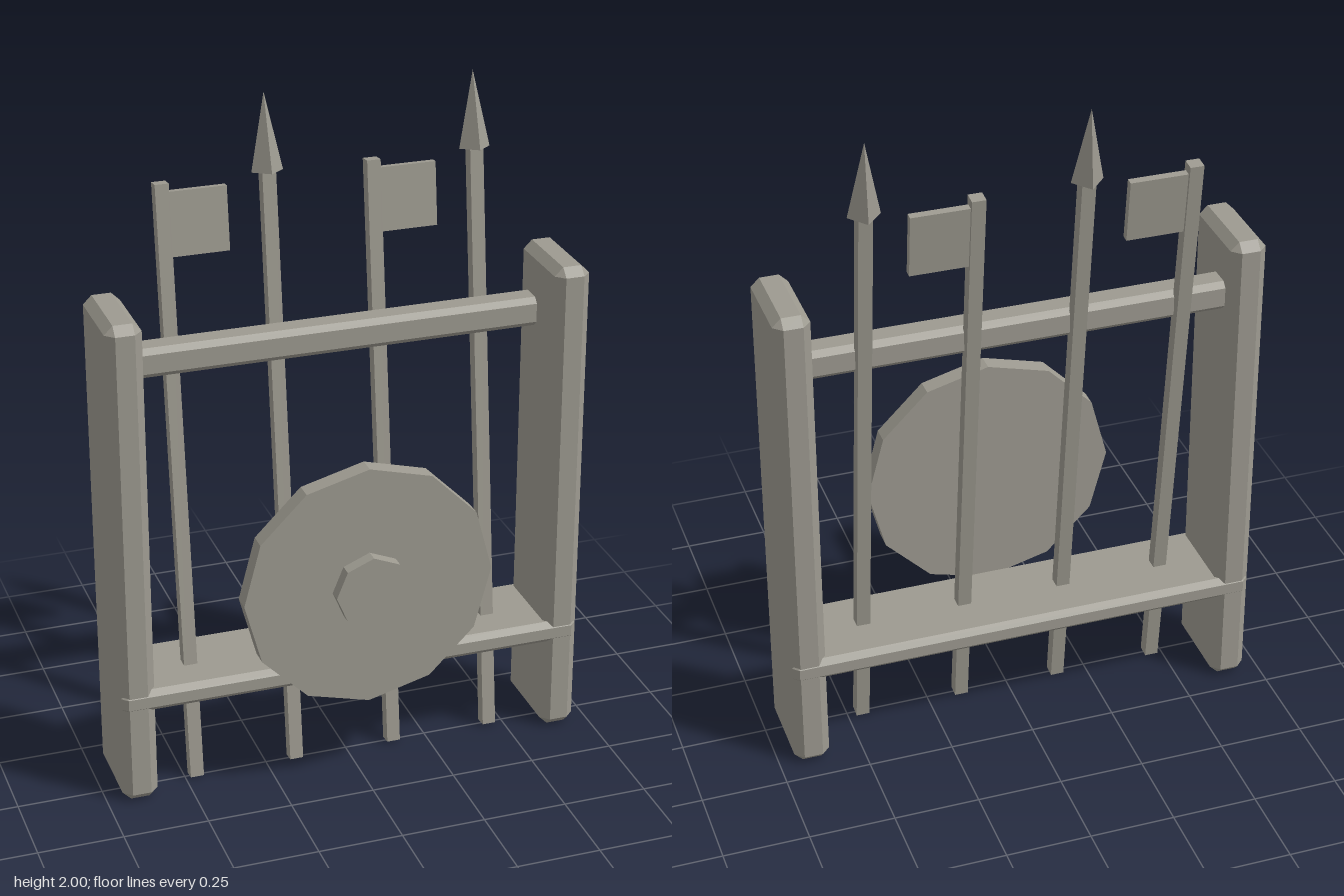
import * as THREE from 'three';
import { ConvexGeometry } from 'three/addons/geometries/ConvexGeometry.js';

const stone = new THREE.MeshStandardMaterial({ color: 0x9d9a90, flatShading: true });
stone.name = 'grey';

function add(parent, name, geometry, x, y, z) {
  const mesh = new THREE.Mesh(geometry, stone);
  mesh.name = name;
  mesh.position.set(x, y, z);
  parent.add(mesh);
  return mesh;
}

// Box with every edge and corner cut by c
function chamferBox(w, h, d, c) {
  const half = [w / 2, h / 2, d / 2];
  const points = [];
  for (const sx of [-1, 1]) for (const sy of [-1, 1]) for (const sz of [-1, 1]) {
    for (let full = 0; full < 3; full++) {
      const [x, y, z] = half.map((v, i) => (i === full ? v : v - c));
      points.push(new THREE.Vector3(sx * x, sy * y, sz * z));
    }
  }
  return new ConvexGeometry(points);
}

export function createModel() {
  const model = new THREE.Group();
  model.name = 'weaponRack';

  // Side posts
  for (const side of [-1, 1]) {
    add(model, side > 0 ? 'leftPost' : 'rightPost', chamferBox(0.105, 1.488, 0.28, 0.025), side * 0.652, 0.749, -0.05);
  }

  // Cross members
  add(model, 'topRail', chamferBox(1.25, 0.088, 0.088, 0.016), 0, 1.311, -0.099);
  add(model, 'lowerShelf', chamferBox(1.398, 0.068, 0.284, 0.017), 0, 0.331, -0.05);

  // Leaning poles, alternately carrying a flag or a spearhead
  const tilt = -Math.atan(0.114);
  [-0.466, -0.159, 0.147, 0.455].forEach((x, i) => {
    const pole = new THREE.Group();
    pole.name = i % 2 ? 'spear' : 'flagPole';
    pole.position.set(x, 0, 0);
    pole.rotation.x = tilt;
    model.add(pole);
    add(pole, 'shaft', new THREE.BoxGeometry(0.04, 1.785, 0.038), 0, 0.8995, 0);
    if (i % 2) {
      add(pole, 'spearhead', new THREE.ConeGeometry(0.046, 0.222, 4), 0, 1.902, 0);
    } else {
      add(pole, 'flag', new THREE.BoxGeometry(0.175, 0.185, 0.022), 0.0985, 1.674, 0);
    }
  });

  // Round shield with central boss
  const shield = new THREE.Group();
  shield.name = 'shield';
  shield.position.set(0, 0.657, 0);
  model.add(shield);
  const disc = (name, radius, sides, z0, z1) => {
    const geometry = new THREE.CylinderGeometry(radius, radius, z1 - z0, sides);
    geometry.rotateX(Math.PI / 2);
    add(shield, name, geometry, 0, 0, (z0 + z1) / 2);
  };
  disc('shieldDisc', 0.37, 12, 0.156, 0.21);
  disc('shieldBoss', 0.11, 8, 0.2, 0.248);

  return model;
}
